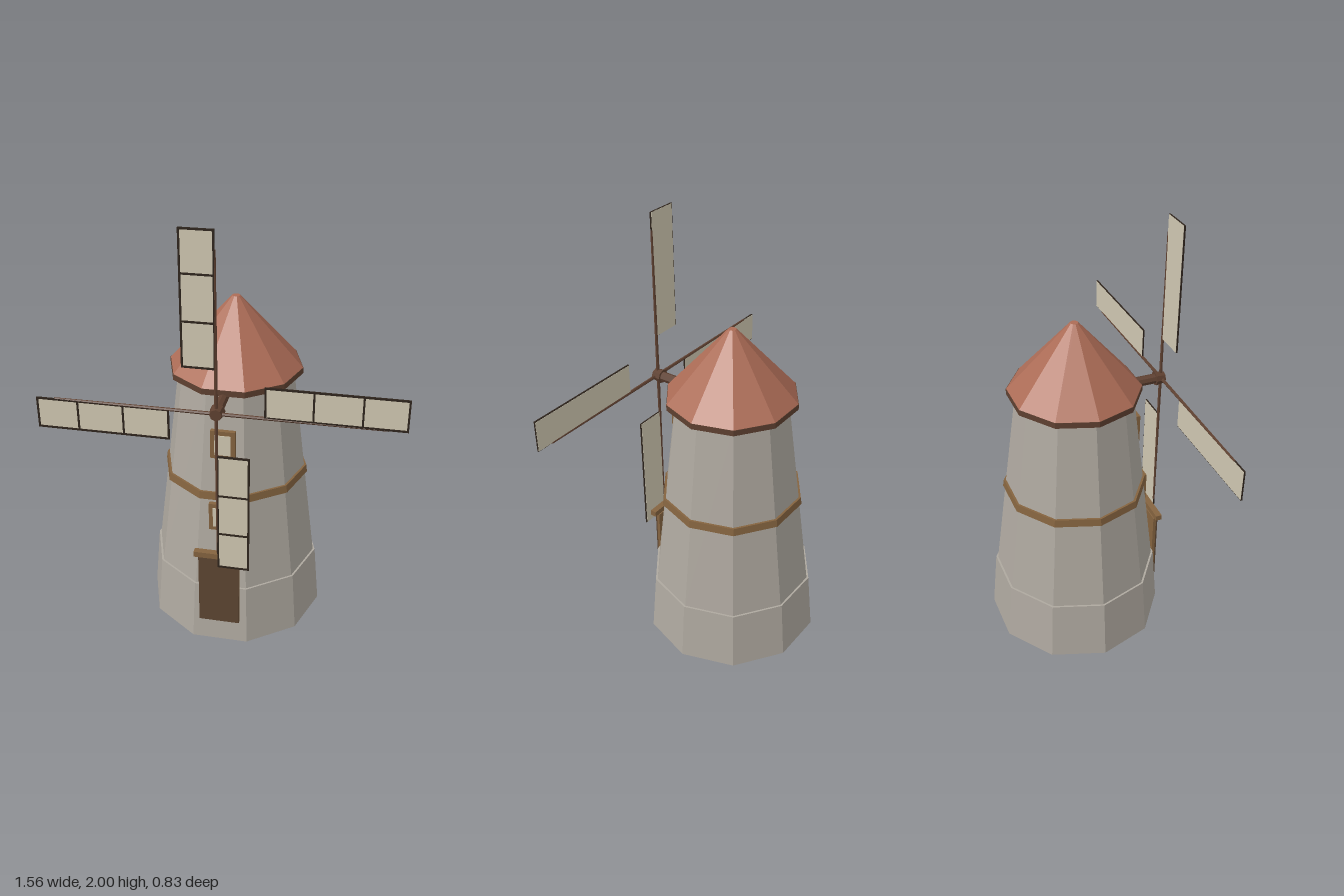
import * as THREE from 'three';

const mat = (name, color) => {
  const m = new THREE.MeshStandardMaterial({ color, flatShading: true });
  m.name = name;
  return m;
};

export function createModel() {
  const stone = mat('stone', 0xaea89f);
  const tile = mat('roof tile', 0xac6c56);
  const wood = mat('wood', 0x84633f);
  const doorWood = mat('door wood', 0x5c4531);
  const darkWood = mat('dark wood', 0x5e4030);
  const batten = mat('batten', 0x2e241c);
  const cloth = mat('sail cloth', 0xcfc7b1);

  const mill = new THREE.Group();
  mill.name = 'windmill';

  const add = (parent, name, geo, material, x = 0, y = 0, z = 0) => {
    const mesh = new THREE.Mesh(geo, material);
    mesh.name = name;
    mesh.position.set(x, y, z);
    parent.add(mesh);
    return mesh;
  };
  // box given by its limits
  const box = (parent, name, material, x0, x1, y0, y1, z0, z1) =>
    add(parent, name, new THREE.BoxGeometry(x1 - x0, y1 - y0, z1 - z0), material,
      (x0 + x1) / 2, (y0 + y1) / 2, (z0 + z1) / 2);

  // ten-sided tower rings with a flat side to the front
  const ring = (name, material, y0, y1, r0, r1) => {
    const geo = new THREE.CylinderGeometry(r1, r0, y1 - y0, 10);
    geo.rotateY(Math.PI / 10);
    add(mill, name, geo, material, 0, (y0 + y1) / 2, -0.02);
  };
  ring('plinth', stone, 0, 0.29, 0.415, 0.39);
  ring('towerWall', stone, 0.28, 1.245, 0.382, 0.262);
  ring('towerBand', wood, 0.73, 0.765, 0.337, 0.332);
  ring('roofRim', darkWood, 1.235, 1.262, 0.302, 0.302);
  ring('roof', tile, 1.262, 1.58, 0.3, 0.018);

  // door
  box(mill, 'doorFrame', wood, -0.095, 0.092, 0.11, 0.475, 0.358, 0.373);
  box(mill, 'doorLeaf', doorWood, -0.095, 0.092, 0.11, 0.475, 0.373, 0.38);
  box(mill, 'doorLintel', wood, -0.113, 0.113, 0.475, 0.502, 0.363, 0.393);

  // windows
  for (const [y, z] of [[0.657, 0.308], [1.003, 0.262]]) {
    box(mill, 'windowFrame', wood, -0.055, 0.055, y - 0.068, y + 0.068, z, z + 0.02);
    box(mill, 'windowPane', cloth, -0.036, 0.036, y - 0.048, y + 0.048, z + 0.018, z + 0.024);
  }

  // axle and hub
  const hubY = 1.222;
  const rod = (name, material, z0, z1, r0, r1) => {
    const geo = new THREE.CylinderGeometry(r1, r0, z1 - z0, 8);
    geo.rotateX(Math.PI / 2);
    add(mill, name, geo, material, 0, hubY, (z0 + z1) / 2);
  };
  rod('axle', darkWood, 0.22, 0.39, 0.023, 0.023);
  rod('hub', darkWood, 0.37, 0.416, 0.033, 0.026);

  // four sails, each a quarter turn from the last
  for (let i = 0; i < 4; i++) {
    const sail = new THREE.Group();
    sail.name = 'sail';
    sail.position.set(0, hubY, 0.4);
    sail.rotation.z = i * Math.PI / 2;
    mill.add(sail);

    const arm = new THREE.CylinderGeometry(0.005, 0.008, 0.7, 6);
    add(sail, 'sailArm', arm, darkWood, 0, 0.35, 0);
    box(sail, 'sailCloth', cloth, -0.139, -0.001, 0.201, 0.779, -0.003, 0.001);
    for (const y of [0.204, 0.4, 0.598, 0.776])
      box(sail, 'crossBatten', batten, -0.142, 0, y - 0.004, y + 0.004, -0.002, 0.005);
    for (const x of [-0.138, -0.003])
      box(sail, 'edgeBatten', batten, x - 0.004, x + 0.004, 0.2, 0.78, -0.002, 0.005);
  }

  return mill;
}
